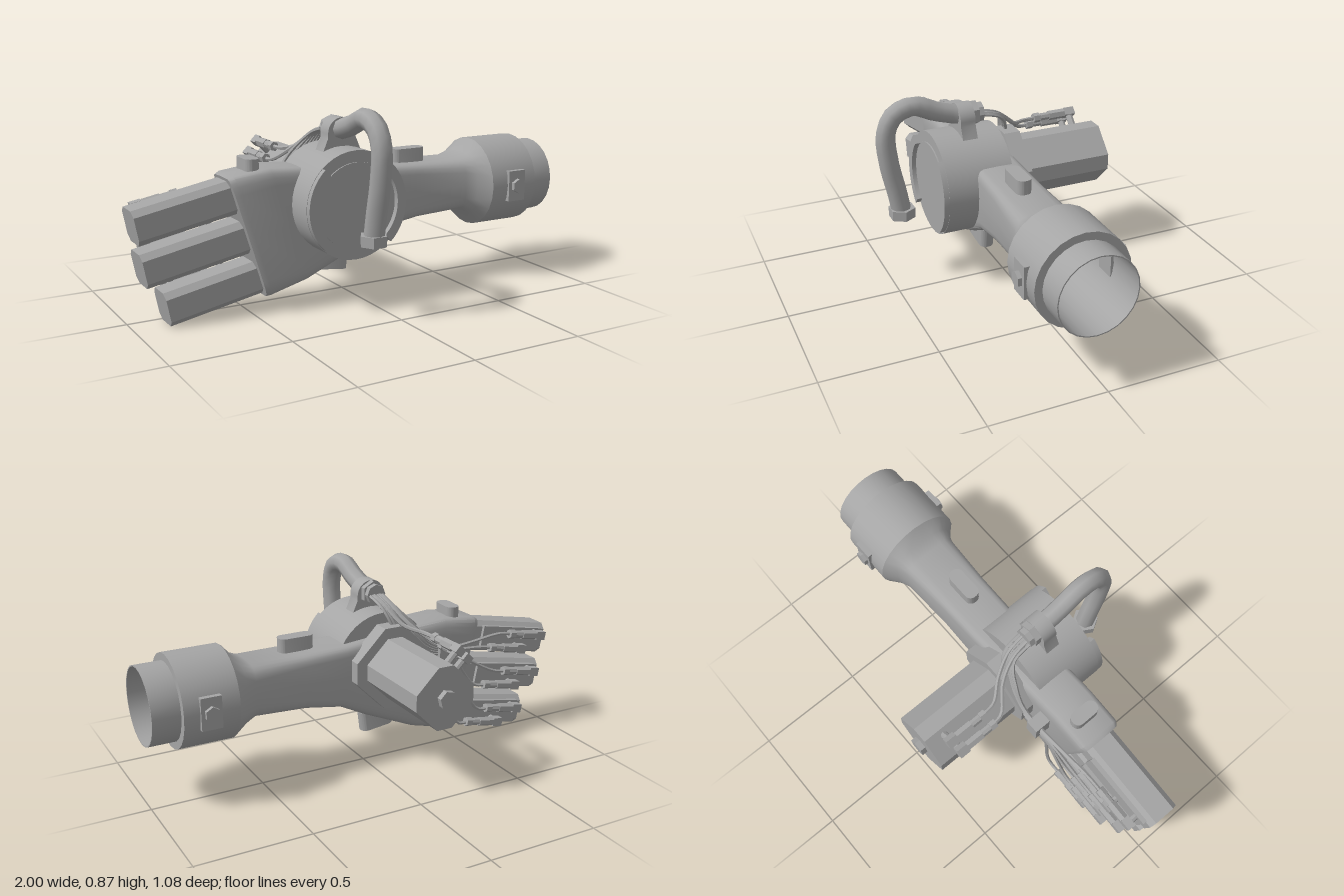
import * as THREE from 'three';
import { toCreasedNormals } from 'three/addons/utils/BufferGeometryUtils.js';

const grey = new THREE.MeshStandardMaterial({ color: 0xa5a5a5, side: THREE.DoubleSide });
grey.name = 'grey metal';
const V = (x, y, z) => new THREE.Vector3(x, y, z);

function add(parent, name, geo, x = 0, y = 0, z = 0, crease = 0.6) {
  const m = new THREE.Mesh(toCreasedNormals(geo, crease), grey);
  m.name = name;
  m.position.set(x, y, z);
  parent.add(m);
  return m;
}
const box = (w, h, d) => new THREE.BoxGeometry(w, h, d);
const cylX = (r, len, n) => new THREE.CylinderGeometry(r, r, len, n).rotateZ(-Math.PI / 2);
const cylZ = (r, len, n) => new THREE.CylinderGeometry(r, r, len, n).rotateX(Math.PI / 2);

// square bar with chamfered corners, running along +z
function chamferBar(h, c, len) {
  const k = h - c;
  const pts = [[h, k], [k, h], [-k, h], [-h, k], [-h, -k], [-k, -h], [k, -h], [h, -k]];
  const shape = new THREE.Shape(pts.map(p => new THREE.Vector2(...p)));
  return new THREE.ExtrudeGeometry(shape, { depth: len, bevelEnabled: false });
}

// pill outline standing on the xz plane
function pill(w, d, h, r) {
  const s = new THREE.Shape(), a = w / 2, b = d / 2;
  s.moveTo(-a + r, -b);
  s.lineTo(a - r, -b).absarc(a - r, -b + r, r, -Math.PI / 2, 0);
  s.lineTo(a, b - r).absarc(a - r, b - r, r, 0, Math.PI / 2);
  s.lineTo(-a + r, b).absarc(-a + r, b - r, r, Math.PI / 2, Math.PI);
  s.lineTo(-a, -b + r).absarc(-a + r, -b + r, r, Math.PI, Math.PI * 1.5);
  return new THREE.ExtrudeGeometry(s, { depth: h, bevelEnabled: false, curveSegments: 5 }).rotateX(-Math.PI / 2);
}

// arm shell: superellipse sections between a top and a bottom point
function armShell() {
  // xTop, yTop, xBottom, yBottom, zBack, zFront, exponent
  const rows = [
    [-0.6, 0.59, -0.44, 0.07, -0.03, 0.16, 8], [-0.58, 0.6, -0.42, 0.075, -0.04, 0.172, 8],
    [-0.42, 0.62, -0.25, 0.12, -0.04, 0.172, 8], [-0.2, 0.605, 0, 0.23, -0.045, 0.17, 8],
    [0.1, 0.577, 0.13, 0.297, -0.055, 0.167, 7], [0.3, 0.57, 0.3, 0.325, -0.058, 0.172, 6],
    [0.54, 0.57, 0.54, 0.335, -0.075, 0.19, 4], [0.59, 0.592, 0.59, 0.3, -0.095, 0.212, 3],
    [0.64, 0.648, 0.64, 0.242, -0.143, 0.263, 2]];
  const n = 24, pos = [], idx = [];
  const pw = (v, e) => Math.sign(v) * Math.pow(Math.abs(v), 2 / e);
  for (const [xt, yt, xb, yb, z0, z1, e] of rows) {
    for (let j = 0; j < n; j++) {
      const t = (j / n) * Math.PI * 2, u = pw(Math.cos(t), e), v = (pw(Math.sin(t), e) + 1) / 2;
      pos.push(xb + (xt - xb) * v, yb + (yt - yb) * v, (z0 + z1) / 2 + u * (z1 - z0) / 2);
    }
  }
  for (let i = 0; i < rows.length - 1; i++) {
    for (let j = 0; j < n; j++) {
      const a = i * n + j, b = i * n + (j + 1) % n;
      idx.push(a, a + n, b, b, a + n, b + n);
    }
  }
  // closed knuckle end and an inner bulkhead
  for (const i of [0, 5]) {
    const r = rows[i], c = pos.length / 3;
    pos.push((r[0] + r[2]) / 2, (r[1] + r[3]) / 2, (r[4] + r[5]) / 2);
    for (let j = 0; j < n; j++) idx.push(c, i * n + j, i * n + (j + 1) % n);
  }
  const g = new THREE.BufferGeometry();
  g.setAttribute('position', new THREE.Float32BufferAttribute(pos, 3));
  g.setIndex(idx);
  return g;
}

// cable plug along +x, its post reaching down -y
function makePlug(name, drop) {
  const g = new THREE.Group();
  g.name = name;
  add(g, 'plugElbow', box(0.05, 0.036, 0.04), 0.025, 0, 0);
  add(g, 'plugPost', new THREE.CylinderGeometry(0.016, 0.016, drop, 8), 0.025, -drop / 2, 0);
  add(g, 'plugBody', cylX(0.022, 0.08, 6), 0.09, 0, 0);
  add(g, 'plugNeck', cylX(0.018, 0.05, 8), 0.15, 0, 0);
  add(g, 'plugCollar', cylX(0.022, 0.03, 6), 0.19, 0, 0);
  return g;
}

function tube(parent, name, pts, r, seg, sides) {
  return add(parent, name, new THREE.TubeGeometry(new THREE.CatmullRomCurve3(pts), seg, r, sides), 0, 0, 0, 0.9);
}

export function createModel() {
  const root = new THREE.Group();
  root.name = 'robotArm';
  const cx = -0.1, cy = 0.458;

  // forearm and cuff
  add(root, 'armShell', armShell());
  const prof = [[0.203, 0.64], [0.203, 0.88], [0.17, 0.88], [0.17, 1], [0.165, 1], [0.165, 0.61]];
  add(root, 'cuff', new THREE.LatheGeometry(prof.map(p => new THREE.Vector2(...p)), 24).rotateZ(-Math.PI / 2), 0, 0.445, 0.06);
  for (const s of [1, -1]) {
    add(root, 'cuffPlate', box(0.09, 0.14, 0.06), 0.767, 0.445, 0.06 + s * 0.182);
    add(root, 'cuffKnob', cylZ(0.033, 0.03, 6), 0.767, 0.445, 0.06 + s * 0.214);
  }

  // raised pads on the arm
  add(root, 'forearmPad', pill(0.16, 0.066, 0.07, 0.03), 0.3, 0.562, 0.063);
  add(root, 'handPad', pill(0.062, 0.13, 0.06, 0.029), -0.48, 0.598, 0.063);
  const lower = add(root, 'lowerPad', pill(0.16, 0.066, 0.09, 0.03), -0.1, 0.13, 0.063);
  lower.rotation.z = -0.12;

  // wrist drum with side rims
  add(root, 'drum', cylZ(0.232, 0.3, 40), cx, cy, 0.15);
  add(root, 'drumDisc', cylZ(0.183, 0.008, 40), cx, cy, 0.302);
  for (const a of [0, Math.PI]) {
    const s = new THREE.Shape();
    s.absarc(0, 0, 0.23, a - 0.82, a + 0.82, false);
    s.absarc(0, 0, 0.188, a + 0.82, a - 0.82, true);
    add(root, 'drumRim', new THREE.ExtrudeGeometry(s, { depth: 0.025, bevelEnabled: false }), cx, cy, 0.299);
  }

  // rear motor
  const motor = new THREE.Group();
  motor.name = 'motor';
  motor.position.set(cx, 0.467, 0);
  motor.rotation.z = Math.PI / 4;
  root.add(motor);
  add(motor, 'motorBody', chamferBar(0.122, 0.05, 0.42), 0, 0, -0.51);
  add(motor, 'motorFlange', chamferBar(0.165, 0.068, 0.075), 0, 0, -0.105);
  add(motor, 'motorNub', cylZ(0.04, 0.03, 6), 0, 0, -0.52);

  // hose, end nut and clamp
  tube(root, 'hose', [V(cx, 0.34, 0.44), V(cx, 0.45, 0.46), V(cx, 0.58, 0.487), V(cx, 0.725, 0.495), V(cx, 0.8, 0.457),
    V(cx, 0.83, 0.37), V(cx, 0.79, 0.27), V(cx, 0.76, 0.17)], 0.044, 20, 8);
  add(root, 'hoseNut', new THREE.CylinderGeometry(0.06, 0.06, 0.045, 6).rotateY(Math.PI / 6), cx, 0.343, 0.44);
  const clamp = new THREE.Shape();
  clamp.moveTo(-0.1, 0);
  clamp.lineTo(0.1, 0).lineTo(0.066, 0.08).absarc(0, 0.1, 0.066, 0, Math.PI);
  clamp.lineTo(-0.066, 0.08);
  add(root, 'hoseClamp', new THREE.ExtrudeGeometry(clamp, { depth: 0.068, bevelEnabled: false, curveSegments: 8 }), cx, 0.645, 0.112);
  add(root, 'clampNut', cylZ(0.055, 0.03, 6), cx, 0.757, 0.1);
  add(root, 'clampSleeve', cylZ(0.045, 0.03, 8), cx, 0.757, 0.075);

  // motor plugs and their wires
  const q = new THREE.Quaternion().setFromRotationMatrix(
    new THREE.Matrix4().makeBasis(V(0, 0, 1), V(-Math.SQRT1_2, Math.SQRT1_2, 0), V(-Math.SQRT1_2, -Math.SQRT1_2, 0)));
  [[-0.21, 0.632], [-0.258, 0.585]].forEach(([x, y], i) => {
    const p = makePlug('motorPlug', 0.085);
    p.position.set(x, y, -0.45 + i * 0.015);
    p.quaternion.copy(q);
    root.add(p);
    const o = (i - 0.5) * 0.03;
    tube(root, 'motorWire', [V(cx - o, 0.757, 0.08), V(cx - o - 0.01, 0.73, -0.02), V(-0.15 - o, 0.66, -0.11),
      V(x + 0.01, y + 0.002, -0.19), V(x, y, -0.26)], 0.009, 20, 6);
  });

  // wire clip on the back of the hand
  add(root, 'wireClip', box(0.06, 0.1, 0.08), -0.36, 0.48, -0.075);

  // three fingers, each with two plugs and wires
  const tilt = 0.19;
  [[-0.984, 0.427], [-0.957, 0.248], [-0.866, 0.076]].forEach(([x, y], f) => {
    const finger = new THREE.Group();
    finger.name = 'finger';
    finger.position.set(x, y, 0.06);
    finger.rotation.z = tilt;
    root.add(finger);
    add(finger, 'fingerBar', chamferBar(0.073, 0.025, 0.45).rotateY(Math.PI / 2));
    add(finger, 'fingerPlate', box(0.34, 0.11, 0.02), 0.2, 0, -0.078);
    for (const s of [1, -1]) {
      const u = s > 0 ? 0.05 : 0.15, v = s * 0.034, i = f * 2 + (s < 0 ? 1 : 0);
      const p = makePlug('fingerPlug', 0.06);
      p.position.set(u, v, -0.133);
      p.rotation.x = -Math.PI / 2;
      finger.add(p);
      const at = k => V(x + k * Math.cos(tilt) - v * Math.sin(tilt), y + k * Math.sin(tilt) + v * Math.cos(tilt), -0.073);
      const o = (i - 2.5) * 0.012;
      tube(root, 'fingerWire', [V(cx + o, 0.757, 0.08), V(-0.11 + o, 0.72, -0.03), V(-0.18 + o, 0.61 - o, -0.075),
        V(-0.28, 0.52 - o, -0.09), V(-0.4, 0.475 - o, -0.085), at(u + 0.26), at(u + 0.18)], 0.008, 32, 5);
    }
  });
  return root;
}
